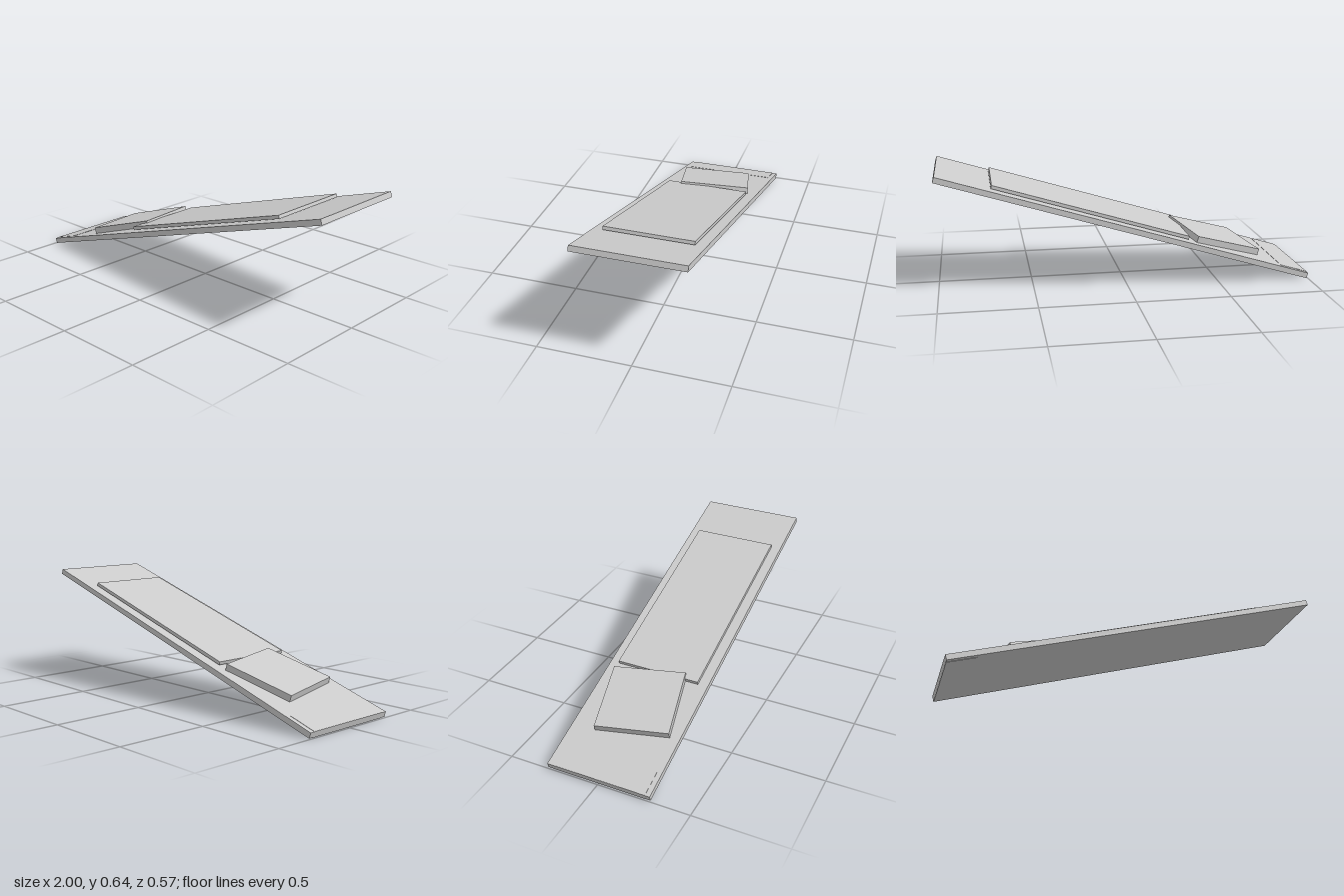
import * as THREE from 'three';

export function createModel() {
  const model = new THREE.Group();
  model.name = 'inclinedBoard';
  const grey = new THREE.MeshStandardMaterial({ color: 0xcccccc });
  grey.name = 'light grey';

  // Everything lies in the tilted frame of the ramp
  const ramp = new THREE.Group();
  ramp.name = 'ramp';
  ramp.rotation.z = THREE.MathUtils.degToRad(17.05);
  ramp.position.y = 0.322;
  model.add(ramp);

  // Box placed by its start and end along the ramp, bottom and top heights, and width
  function slab(name, [x0, x1], [y0, y1], width, turn = 0) {
    const mesh = new THREE.Mesh(new THREE.BoxGeometry(x1 - x0, y1 - y0, width), grey);
    mesh.name = name;
    mesh.position.set((x0 + x1) / 2, (y0 + y1) / 2, 0);
    mesh.rotation.y = turn;
    ramp.add(mesh);
  }

  slab('board', [-1.0415, 1.0415], [-0.015, 0.015], 0.572);
  // Slightly thicker insert at the low end
  slab('footInsert', [-1.041, -0.884], [-0.017, 0.0165], 0.52);
  // Long raised panel with a narrow gap under it
  slab('panel', [-0.343, 0.75], [0.02, 0.038], 0.466);
  // Square block, turned a little
  slab('turnedBlock', [-0.742, -0.348], [0.015, 0.05], 0.394, THREE.MathUtils.degToRad(11.8));

  return model;
}
